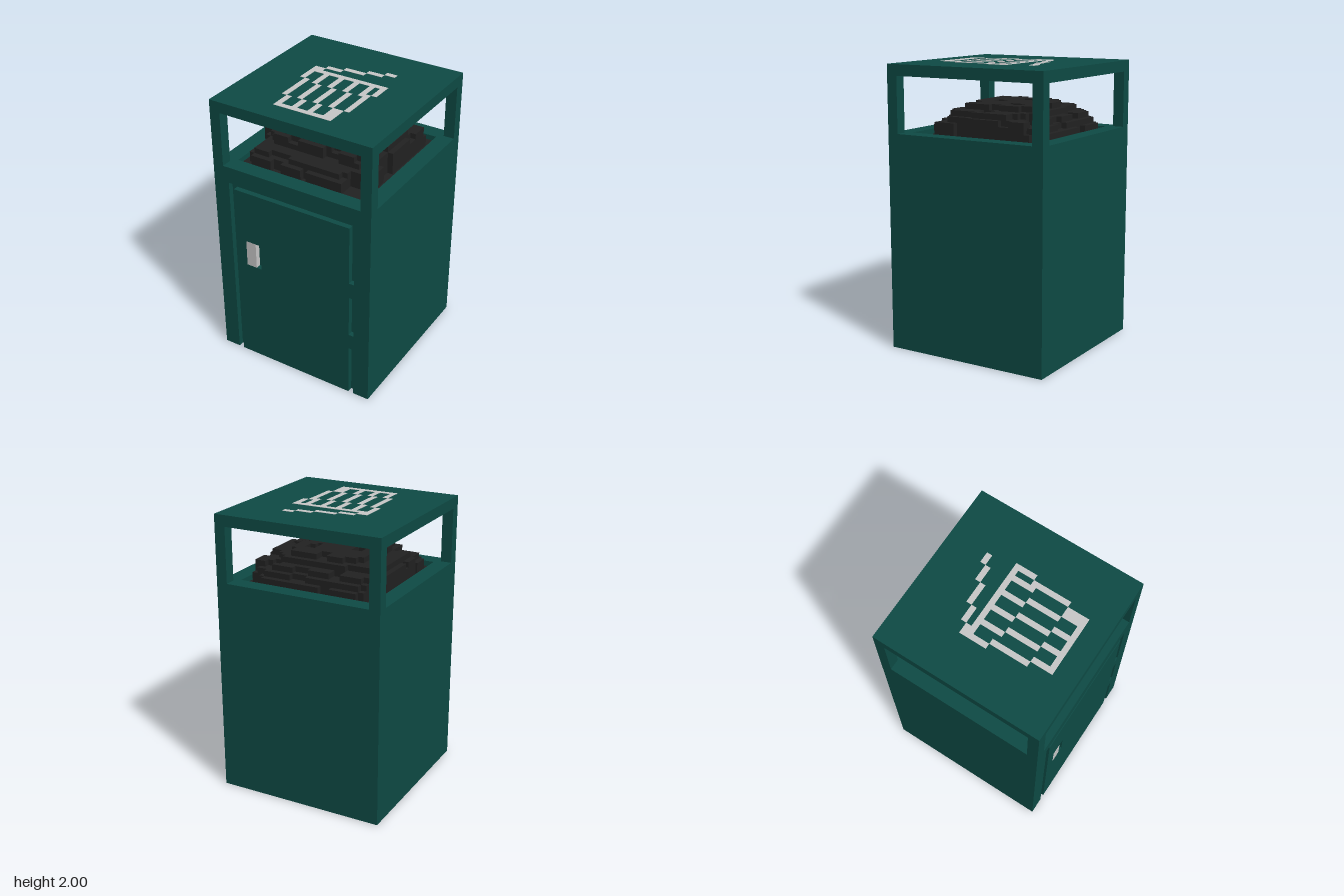
import * as THREE from 'three';
import { mergeGeometries } from 'three/addons/utils/BufferGeometryUtils.js';

const V = 2 / 51; // size of one block; the bin is 31 x 51 x 31 blocks

const green = new THREE.MeshStandardMaterial({ color: 0x0e4b45 });
green.name = 'dark green';
const grey = new THREE.MeshStandardMaterial({ color: 0xc8c8c8 });
grey.name = 'light grey';
const black = new THREE.MeshStandardMaterial({ color: 0x222222 });
black.name = 'rubbish black';

// Box between two corners, given in blocks
function block(x0, x1, y0, y1, z0, z1) {
  return new THREE.BoxGeometry((x1 - x0) * V, (y1 - y0) * V, (z1 - z0) * V)
    .translate((x0 + x1) / 2 * V, (y0 + y1) / 2 * V, (z0 + z1) / 2 * V);
}

// Rectangle outline in blocks, for shapes and their holes
function rect(x0, x1, y0, y1, Type = THREE.Shape) {
  return new Type([[x0, y0], [x1, y0], [x1, y1], [x0, y1]]
    .map(([x, y]) => new THREE.Vector2(x * V, y * V)));
}

// Height of the rubbish in each column: stacked, ragged-edged layers
function rubbishHeight(x, z) {
  const layers = [ // top, x min, x max, z min, z max
    [39, -12, 11, -12, 11], [40, -12, 11, -12, 11], [41, -12, 11, -11, 10],
    [42, -12, 11, -10, 7], [43, -11, 10, -8, 7], [44, -8, 6, -7, 6],
  ];
  const lump = 0.13 * Math.sin(x * 0.9 + z * 0.35) + 0.13 * Math.sin(z * 0.8 - x * 0.45 + 1);
  let top = 38;
  for (const [h, x0, x1, z0, z1] of layers) {
    const u = Math.abs(x - (x0 + x1) / 2) / ((x1 - x0 + 1) / 2);
    const w = Math.abs(z - (z0 + z1) / 2) / ((z1 - z0 + 1) / 2);
    if (u < 1 && w < 1 && u ** 4 + w ** 4 < 1.1 + lump * 2) top = h;
  }
  // shallow dents on top
  if (top > 41 && Math.sin(x * 0.75 + 2) * Math.sin(z * 0.7 + x * 0.2) > 0.6) top -= 1;
  return top;
}

export function createModel() {
  const group = new THREE.Group();
  const add = (name, geometry, material) => {
    const mesh = new THREE.Mesh(geometry, material);
    mesh.name = name;
    group.add(mesh);
    return mesh;
  };

  // Body core behind the front panel, and the raised rim
  add('body', block(-15.5, 15.5, 0, 38, -15.5, 14.5), green);
  const rimShape = rect(-15.5, 15.5, -15.5, 15.5);
  rimShape.holes.push(rect(-12.5, 12.5, -12.5, 12.5, THREE.Path));
  const rim = new THREE.ExtrudeGeometry(rimShape, { depth: V, bevelEnabled: false });
  add('rim', rim.rotateX(-Math.PI / 2).translate(0, 38 * V, 0), green);

  // Front frame, separated from the door by a groove one block deep
  add('frontFrame', mergeGeometries([
    block(-15.5, -12.5, 0, 38, 14.5, 15.5),
    block(12.5, 15.5, 0, 38, 14.5, 15.5),
    block(-12.5, 12.5, 36, 38, 14.5, 15.5),
  ]), green);

  // Door with a pocket for the handle
  const doorShape = rect(-11.5, 11.5, 0, 35);
  doorShape.holes.push(rect(-9.5, -6.5, 20, 25, THREE.Path));
  const door = new THREE.ExtrudeGeometry(doorShape, { depth: V, bevelEnabled: false });
  add('door', door.translate(0, 0, 14.5 * V), green);
  add('handle', block(-9.5, -7.5, 20, 25, 14.5, 15.5), grey);
  for (const [y0, y1] of [[10, 13], [21, 24]]) {
    add('hinge', block(11.5, 12.5, y0, y1, 14.5, 15.5), green);
  }

  // Corner posts and roof
  for (const x of [-15.5, 13.5]) {
    for (const z of [-15.5, 13.5]) add('post', block(x, x + 2, 39, 49, z, z + 2), green);
  }
  add('roof', block(-15.5, 15.5, 49, 51, -15.5, 15.5), green);

  // Rubbish: a flat bed with a blocky heap
  const heap = [block(-12.5, 12.5, 37, 38.05, -12.5, 12.5)];
  for (let x = -12; x <= 12; x++) {
    for (let z = -12; z <= 12; z++) {
      const top = rubbishHeight(x, z);
      if (top > 38) heap.push(block(x - 0.5, x + 0.5, 38, top, z - 0.5, z + 0.5));
    }
  }
  add('rubbish', mergeGeometries(heap), black);

  // Bin symbol on the roof: first row, last row, then column spans
  const rows = [
    [-8, -8, [5, 6]], [-7, -7, [2, 4]], [-6, -6, [-2, 1]], [-5, -5, [-5, -3]], // open lid
    [-4, -4, [-7, -6]], [-3, -3, [-7, 7]], // rim
    [-2, 0, [-7, -7], [-4, -4], [-1, -1], [2, 2], [5, 5], [7, 7]], // ribs
    [1, 1, [-6, -6], [-4, -4], [-1, -1], [2, 2], [5, 6]],
    [2, 7, [-6, -6], [-3, -3], [0, 0], [3, 3], [6, 6]],
    [8, 10, [-5, -5], [-2, -2], [1, 1], [4, 5]],
    [11, 11, [-5, 5]], // base
  ];
  const symbol = rows.flatMap(([r0, r1, ...spans]) => spans.map(([c0, c1]) =>
    block(c0 - 0.5, c1 + 0.5, 50.95, 51.05, r0 - 0.5, r1 + 0.5)));
  add('roofSymbol', mergeGeometries(symbol), grey);

  return group;
}
